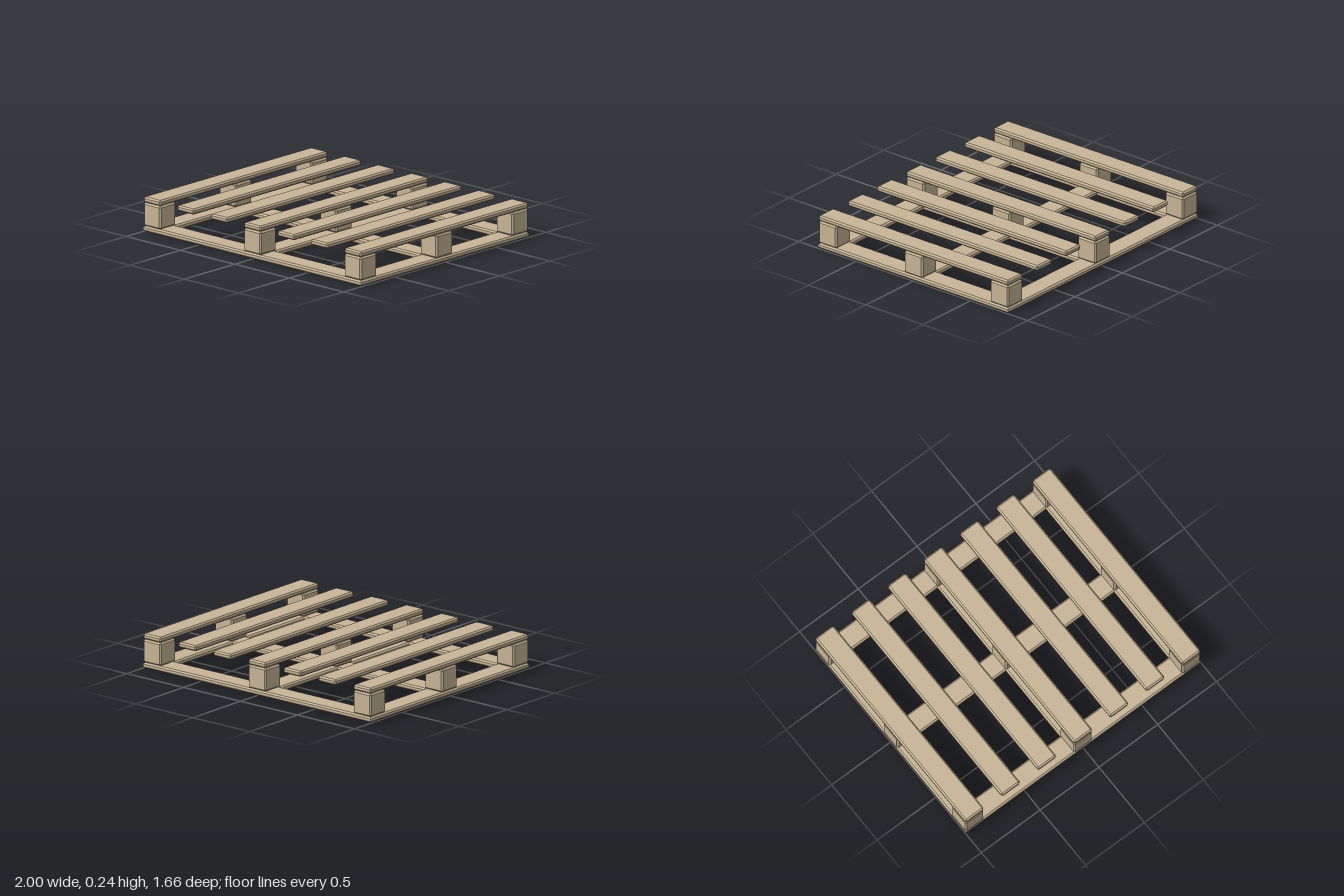
import * as THREE from 'three';
import { ConvexGeometry } from 'three/addons/geometries/ConvexGeometry.js';

const CHAMFER = 0.011;
const BOARD_W = 0.156;   // width of every board and block
const BOARD_H = 0.04;    // board thickness
const HALF_Z = 0.83;
const BLOCK_H = 0.163;

// Box with every edge cut at 45 degrees
function chamferedBox(w, h, d, c) {
  const points = [];
  for (const sx of [-1, 1]) for (const sy of [-1, 1]) for (const sz of [-1, 1]) {
    for (let full = 0; full < 3; full++) {
      const inset = [c, c, c];
      inset[full] = 0;
      points.push(new THREE.Vector3(
        sx * (w / 2 - inset[0]), sy * (h / 2 - inset[1]), sz * (d / 2 - inset[2])));
    }
  }
  return new ConvexGeometry(points);
}

function rectangle(PathType, x0, x1, z0, z1) {
  return new PathType([[x0, z0], [x1, z0], [x1, z1], [x0, z1]].map(p => new THREE.Vector2(...p)));
}

// Flat base with four openings, chamfered along every edge
function baseFrame() {
  const shape = rectangle(THREE.Shape, -1, 1, -HALF_Z, HALF_Z);
  const half = BOARD_W / 2;
  for (const [x0, x1] of [[-1 + BOARD_W, -half], [half, 1 - BOARD_W]]) {
    for (const [z0, z1] of [[-HALF_Z + BOARD_W, -half], [half, HALF_Z - BOARD_W]]) {
      shape.holes.push(rectangle(THREE.Path, x0, x1, z0, z1));
    }
  }
  const geometry = new THREE.ExtrudeGeometry(shape, {
    depth: BOARD_H - 2 * CHAMFER,
    bevelEnabled: true,
    bevelSegments: 1,
    bevelThickness: CHAMFER,
    bevelSize: CHAMFER,
    bevelOffset: -CHAMFER,
  });
  geometry.rotateX(-Math.PI / 2);
  geometry.translate(0, CHAMFER, 0);
  return geometry;
}

export function createModel() {
  const model = new THREE.Group();
  model.name = 'pallet';
  const wood = new THREE.MeshStandardMaterial({ color: 0xc8b696 });
  wood.name = 'pale wood';

  const add = (name, geometry, x, y, z) => {
    const mesh = new THREE.Mesh(geometry, wood);
    mesh.name = name;
    mesh.position.set(x, y, z);
    model.add(mesh);
  };

  add('baseFrame', baseFrame(), 0, 0, 0);

  // Nine spacer blocks
  const block = chamferedBox(BOARD_W, BLOCK_H, BOARD_W + 0.004, CHAMFER);
  for (const ix of [-1, 0, 1]) for (const iz of [-1, 0, 1]) {
    add('spacerBlock', block, ix * (1 - BOARD_W / 2), BOARD_H + BLOCK_H / 2,
      iz * (HALF_Z - BOARD_W / 2 - 0.002));
  }

  // Seven deck slats running front to back
  const slat = chamferedBox(BOARD_W, BOARD_H, 2 * HALF_Z, CHAMFER);
  const pitch = (1 - BOARD_W / 2) / 3;
  for (let i = -3; i <= 3; i++) {
    add('deckSlat', slat, i * pitch, BOARD_H + BLOCK_H + BOARD_H / 2, 0);
  }

  return model;
}
